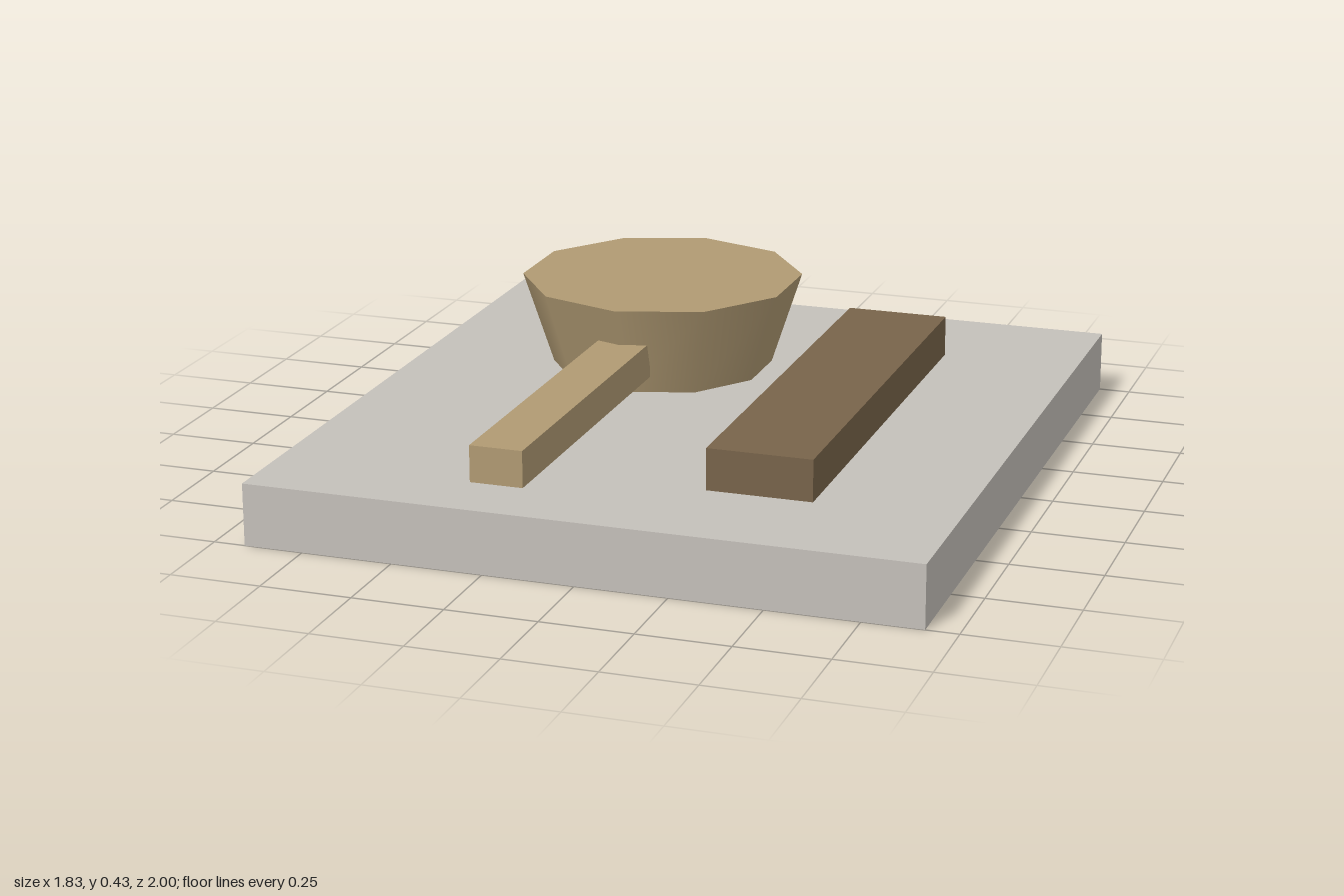
import * as THREE from 'three';

export function createModel() {
  const model = new THREE.Group();
  const stone = new THREE.MeshStandardMaterial({ color: 0xc4c0ba });
  stone.name = 'pale stone';
  const lightWood = new THREE.MeshStandardMaterial({ color: 0xb09a73 });
  lightWood.name = 'light wood';
  const darkWood = new THREE.MeshStandardMaterial({ color: 0x78644a });
  darkWood.name = 'dark wood';

  const add = (name, geometry, material, x, y, z) => {
    const mesh = new THREE.Mesh(geometry, material);
    mesh.name = name;
    mesh.position.set(x, y, z);
    model.add(mesh);
  };

  // Box given by its minimum and maximum corners
  const box = (name, material, [x0, y0, z0], [x1, y1, z1]) =>
    add(name, new THREE.BoxGeometry(x1 - x0, y1 - y0, z1 - z0), material,
      (x0 + x1) / 2, (y0 + y1) / 2, (z0 + z1) / 2);

  // Slab that carries everything
  box('baseSlab', stone, [-0.913, 0, -1], [0.913, 0.171, 1]);

  // Ten-sided flared bowl, with its handle running to the front
  add('bowl', new THREE.CylinderGeometry(0.398, 0.313, 0.259, 10), lightWood, -0.23, 0.3005, -0.345);
  box('handle', lightWood, [-0.302, 0.224, -0.03], [-0.158, 0.323, 0.94]);

  // Dark bar beside the bowl, just clear of the slab
  box('bar', darkWood, [0.254, 0.188, -0.6], [0.539, 0.302, 0.712]);

  return model;
}
